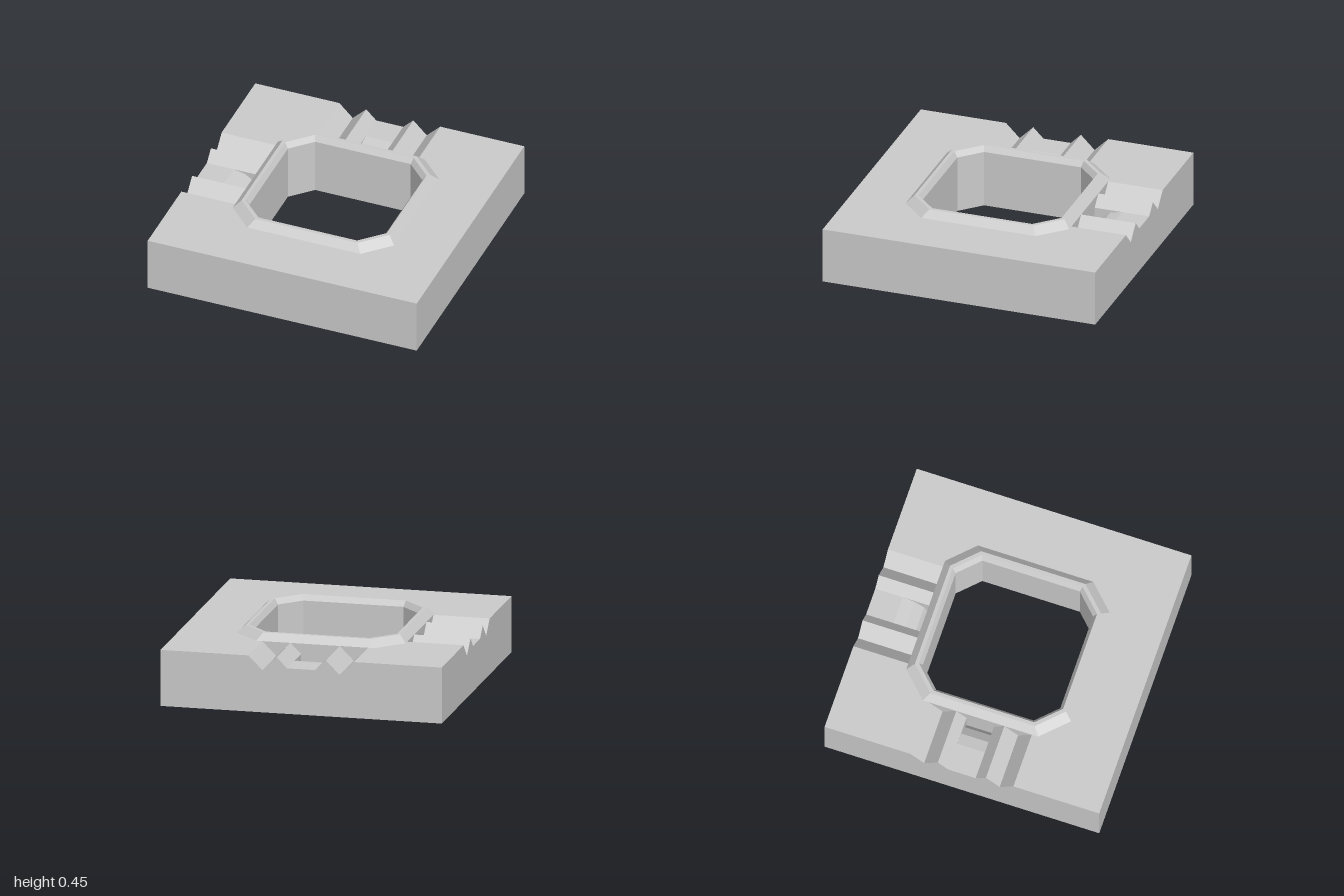
import * as THREE from 'three';

const H = 0.4;        // height of the block
const RIM = 0.6;      // outer reach of the raised rim, where the channels end
const material = new THREE.MeshStandardMaterial({ color: 0xcccccc, flatShading: true });

// Flat-shaded surface through a list of point rows
function loft(name, ...rows) {
  const v = [];
  for (let r = 0; r < rows.length - 1; r++) {
    const a = rows[r], b = rows[r + 1];
    for (let i = 0; i < a.length - 1; i++) {
      v.push(...a[i], ...b[i], ...b[i + 1], ...a[i], ...b[i + 1], ...a[i + 1]);
    }
  }
  const g = new THREE.BufferGeometry();
  g.setAttribute('position', new THREE.Float32BufferAttribute(v, 3));
  g.computeVertexNormals();
  const mesh = new THREE.Mesh(g, material);
  mesh.name = name;
  return mesh;
}

// Horizontal polygon facing up, from [x, z] corners
function topFace(name, corners) {
  const shape = new THREE.Shape(corners.map(([x, z]) => new THREE.Vector2(x, -z)));
  const mesh = new THREE.Mesh(new THREE.ShapeGeometry(shape).rotateX(-Math.PI / 2).translate(0, H, 0), material);
  mesh.name = name;
  return mesh;
}

// Corners of an octagon with reach r and half edge e
const octagon = (r, e) =>
  [[e, r], [-e, r], [-r, e], [-r, -e], [-e, -r], [e, -r], [r, -e], [r, e]];

// Vertical wall at depth z, facing back, between two [x, y] lines
const wall = (name, lower, upper, z) =>
  loft(name, lower.map(([x, y]) => [x, y, z]), upper.map(([x, y]) => [x, y, z]));

const leftHalf = [[-0.375, H], [-0.275, H - 0.1], [-0.175, H], [-0.1, H - 0.075]];
const rightHalf = leftHalf.map(([x, y]) => [-x, y]).reverse();
const profile = [...leftHalf, ...rightHalf];

// Back side of the block with its ridged channel and curved chute
function createChannelSide() {
  const group = new THREE.Group();
  const at = (line, z) => line.map(([x, y]) => [x, y, z]);
  const edge = [[-1, H], ...profile, [1, H]];
  group.add(wall('channelSideWall', edge.map(([x]) => [x, 0]), edge, -1));

  // Ridges and grooves
  group.add(loft('channelFloor', at(profile, -1), at(profile, -0.8)));
  for (const half of [leftHalf, rightHalf]) {
    group.add(loft('channelRidge', at(half, -0.8), at(half, -RIM)));
  }

  // Chute curving down to the rim
  const floor = H - 0.075, radius = 0.21;
  const arc = [0, 24, 48, 72].map((deg) => {
    const t = THREE.MathUtils.degToRad(deg);
    return [floor - radius * (1 - Math.cos(t)), Math.min(-0.8 + radius * Math.sin(t), -RIM)];
  });
  arc[3][1] = -RIM;
  const line = (x) => arc.map(([y, z]) => [x, y, z]);
  const lip = (x) => arc.map(([, z]) => [x, floor, z]);
  group.add(loft('chute', line(-0.1).reverse(), line(0.1).reverse()));
  group.add(loft('chuteSide', line(-0.1), lip(-0.1)));
  group.add(loft('chuteSide', line(0.1).reverse(), lip(0.1).reverse()));

  // Wall closing the channel below the rim
  const deep = arc[3][0];
  const foot = [...leftHalf, [-0.1, deep], [0.1, deep], ...rightHalf];
  group.add(wall('channelEnd', foot, foot.map(([x]) => [x, H]), -RIM));
  return group;
}

export function createModel() {
  const model = new THREE.Group();
  model.name = 'channelBlock';

  // Underside with the octagonal opening
  const base = new THREE.Shape([[-1, -1], [1, -1], [1, 1], [-1, 1]].map((p) => new THREE.Vector2(...p)));
  base.holes.push(new THREE.Path(octagon(0.5, 0.355).map((p) => new THREE.Vector2(...p))));
  const underside = new THREE.Mesh(new THREE.ShapeGeometry(base).rotateX(Math.PI / 2), material);
  underside.name = 'underside';
  model.add(underside);

  // Top, split by the two channels
  model.add(topFace('topCorner', [
    [-1, -1], [-0.375, -1], [-0.375, -RIM], [-0.42, -RIM], [-RIM, -0.42], [-RIM, -0.375], [-1, -0.375],
  ]));
  model.add(topFace('topMain', [
    [0.375, -1], [1, -1], [1, 1], [-1, 1], [-1, 0.375], [-RIM, 0.375], [-RIM, 0.42], [-0.42, RIM],
    [0.42, RIM], [RIM, 0.42], [RIM, -0.42], [0.42, -RIM], [0.375, -RIM],
  ]));

  // Raised rim running down into the opening
  const rows = [[RIM, 0.42, H], [0.55, 0.38, 0.45], [0.525, 0.367, 0.45], [0.5, 0.355, 0.41], [0.5, 0.355, 0]]
    .map(([r, e, y]) => {
      const ring = octagon(r, e).map(([x, z]) => [x, y, z]);
      return [...ring, ring[0]];
    });
  model.add(loft('rim', ...rows.slice(0, 4)));
  model.add(loft('openingWall', ...rows.slice(3)));

  // Four sides: channels at the back and at -x, plain walls elsewhere
  for (let i = 0; i < 4; i++) {
    const side = i < 2 ? createChannelSide() : wall('plainSideWall', [[-1, 0], [1, 0]], [[-1, H], [1, H]], -1);
    if (i < 2) side.name = i ? 'sideChannel' : 'backChannel';
    side.rotation.y = i * Math.PI / 2;
    model.add(side);
  }
  return model;
}
